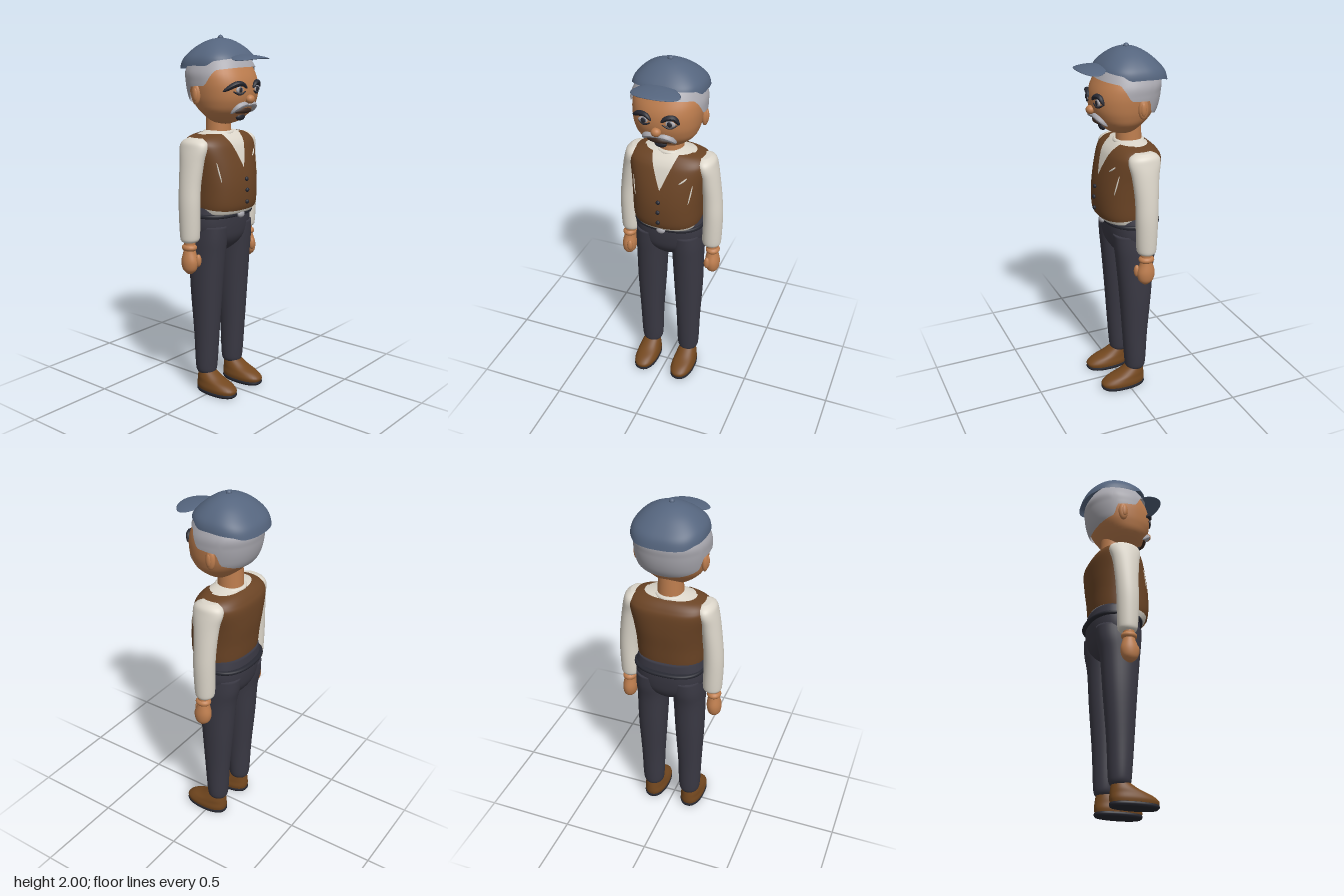
import * as THREE from 'three';

const mat = (name, color, side = THREE.FrontSide) => {
  const m = new THREE.MeshStandardMaterial({ color, side });
  m.name = name;
  return m;
};

// Each ring: [y, centre x, front z, back z, half width, superellipse power]
const HEAD = [
  [1.53, 0, 0.02, -0.04, 0.03, 2], [1.55, 0, 0.07, -0.08, 0.09, 2], [1.6, 0, 0.125, -0.13, 0.15, 2.1],
  [1.65, 0, 0.15, -0.17, 0.172, 2.2], [1.7, 0, 0.16, -0.19, 0.182, 2.2], [1.76, 0, 0.155, -0.2, 0.186, 2.2],
  [1.82, 0, 0.13, -0.2, 0.178, 2.2], [1.9, 0, 0.08, -0.15, 0.13, 2.1], [1.95, 0, 0, -0.08, 0.05, 2],
];
const TORSO = [
  [1.05, 0, 0.12, -0.165, 0.178, 2.4], [1.1, 0, 0.138, -0.18, 0.19, 2.4], [1.2, 0, 0.14, -0.19, 0.196, 2.4],
  [1.3, 0, 0.125, -0.2, 0.205, 2.5], [1.4, 0, 0.095, -0.2, 0.22, 2.7], [1.44, 0, 0.075, -0.185, 0.215, 2.7],
  [1.468, 0, 0.05, -0.16, 0.185, 2.5], [1.485, 0, 0.03, -0.13, 0.12, 2.2], [1.495, 0, 0.01, -0.115, 0.075, 2],
];

const offset = (rings, d) => rings.map(([y, x, f, b, w, e]) => [y, x, f + d, b - d, w + d, e]);
const mirrorX = (rings, s) => rings.map(([y, x, ...rest]) => [y, x * s, ...rest]);

// Smooth interpolation between the rings, t from 0 to 1
function ringAt(rings, t) {
  const k = t * (rings.length - 1), i = Math.min(Math.floor(k), rings.length - 2), u = k - i;
  const at = j => rings[Math.max(0, Math.min(rings.length - 1, j))];
  return rings[i].map((p1, c) => {
    const p0 = at(i - 1)[c], p2 = at(i + 1)[c], p3 = at(i + 2)[c];
    const v0 = (p2 - p0) / 2, v1 = (p3 - p1) / 2;
    return p1 + u * (v0 + u * (3 * (p2 - p1) - 2 * v0 - v1 + u * (2 * (p1 - p2) + v0 + v1)));
  });
}

function pointAt(rings, a, t) {
  const [y, x, f, b, w, e] = ringAt(rings, t);
  const c = Math.cos(a), s = Math.sin(a);
  const sup = v => Math.sign(v) * Math.abs(v) ** (2 / e);
  return [x + w * sup(c), y, (f + b) / 2 + (f - b) / 2 * sup(s)];
}

function bisect(test) {
  let lo = 0, hi = 1;
  for (let i = 0; i < 18; i++) {
    const m = (lo + hi) / 2;
    if (test(m)) lo = m; else hi = m;
  }
  return lo;
}

// Skin over the rings; "below" trims the lower edge and "under" keeps what lies under the upper edge
function loft(rings, { n = 48, m = rings.length * 4, below, under, caps = true } = {}) {
  const pos = [], idx = [];
  for (let i = 0; i < n; i++) {
    const a = i / n * Math.PI * 2;
    const t0 = below ? bisect(t => below(pointAt(rings, a, t), a)) : 0;
    const t1 = under ? bisect(t => under(pointAt(rings, a, t), a)) : 1;
    for (let j = 0; j <= m; j++) pos.push(...pointAt(rings, a, t0 + (t1 - t0) * j / m));
  }
  const at = (i, j) => (i % n) * (m + 1) + j;
  for (let i = 0; i < n; i++) for (let j = 0; j < m; j++) {
    idx.push(at(i, j), at(i, j + 1), at(i + 1, j), at(i + 1, j), at(i, j + 1), at(i + 1, j + 1));
  }
  if (caps) [0, 1].forEach(t => {
    const [y, x, f, b] = ringAt(rings, t), c = pos.length / 3;
    pos.push(x, y, (f + b) / 2);
    for (let i = 0; i < n; i++) {
      const p = at(i, t * m), q = at(i + 1, t * m);
      idx.push(c, ...(t ? [q, p] : [p, q]));
    }
  });
  const g = new THREE.BufferGeometry();
  g.setAttribute('position', new THREE.Float32BufferAttribute(pos, 3));
  g.setIndex(idx);
  g.computeVertexNormals();
  return g;
}

// Depth of a body surface at a given front position
function frontZ(rings, x, y) {
  const [, , f, b, w, e] = ringAt(rings, bisect(t => ringAt(rings, t)[0] < y));
  return (f + b) / 2 + (f - b) / 2 * Math.max(0, 1 - Math.abs(x / w) ** e) ** (1 / e);
}

// Strand lying on a surface, tapering to both ends
function strand(rings, pts, r, lift = 0) {
  const curve = new THREE.CatmullRomCurve3(pts.map(([x, y]) => new THREE.Vector3(x, y, frontZ(rings, x, y) + lift)));
  const seg = 20, g = new THREE.TubeGeometry(curve, seg, r, 8), p = g.attributes.position, v = new THREE.Vector3();
  for (let i = 0; i < p.count; i++) {
    const u = Math.floor(i / 9) / seg, c = curve.getPointAt(u);
    v.fromBufferAttribute(p, i).sub(c).multiplyScalar(Math.sqrt(Math.sin(Math.PI * Math.min(1, u)) + 1e-4)).add(c);
    p.setXYZ(i, v.x, v.y, v.z);
  }
  g.computeVertexNormals();
  return g;
}

const ball = (x, y, z, rx, ry, rz) => new THREE.SphereGeometry(1, 24, 16).scale(rx, ry, rz).translate(x, y, z);

function piecewise(table, v) {
  for (let i = 1; i < table.length; i++) if (v >= table[i][0]) {
    const [x0, y0] = table[i - 1], [x1, y1] = table[i];
    return y0 + (y1 - y0) * Math.min(1, Math.max(0, (v - x0) / (x1 - x0)));
  }
  return table[table.length - 1][1];
}

export function createModel() {
  const model = new THREE.Group();
  const skin = mat('skin', 0xbd7d4e), brown = mat('brown cloth', 0x6b4425, THREE.DoubleSide);
  const cream = mat('cream shirt', 0xdcd6ca), navy = mat('dark trousers', 0x3a3944);
  const blue = mat('blue cap', 0x55657e, THREE.DoubleSide), grey = mat('grey hair', 0xa9a8af, THREE.DoubleSide);
  const dark = mat('dark trim', 0x272831), leather = mat('shoe leather', 0x74481f), mouthBrown = mat('mouth', 0x3d2a20);
  const add = (name, geo, m) => {
    const mesh = new THREE.Mesh(geo, m);
    mesh.name = name;
    model.add(mesh);
  };

  // Head and neck
  add('head', loft(HEAD), skin);
  add('neck', new THREE.CylinderGeometry(0.066, 0.072, 0.14, 32).translate(0, 1.52, -0.055), skin);
  add('nose', ball(0, 1.67, 0.163, 0.027, 0.024, 0.024), skin);

  // Hair wraps the skull, with a line dropping behind the ears
  const hairline = [[0.2, 1.84], [0.08, 1.825], [0.045, 1.79], [0.01, 1.745], [-0.085, 1.735], [-0.11, 1.67], [-0.21, 1.635]];
  add('hair', loft(offset(HEAD, 0.014), {
    n: 96, caps: false, below: (p, a) => p[1] < piecewise(hairline, -0.02 + 0.19 * Math.sin(a)),
  }), grey);

  // Cap
  const cap = [
    [1.81, 0, 0.13, -0.247, 0.196, 2.5], [1.86, 0, 0.13, -0.232, 0.193, 2.5], [1.9, 0, 0.112, -0.2, 0.174, 2.5],
    [1.945, 0, 0.065, -0.15, 0.125, 2.3], [1.975, 0, 0.015, -0.095, 0.065, 2], [1.985, 0, -0.035, -0.045, 0.006, 2],
  ];
  const brimLine = [[1, 1.885], [0.5, 1.87], [0.3, 1.845], [0, 1.845], [-0.6, 1.835], [-0.8, 1.82], [-1, 1.818]];
  add('capCrown', loft(cap, { n: 72, caps: false, below: (p, a) => p[1] < piecewise(brimLine, Math.sin(a)) }), blue);
  add('capButton', ball(0, 1.985, -0.04, 0.015, 0.015, 0.015), blue);
  const visor = ball(0, 0, 0.165, 0.13, 0.009, 0.076), vp = visor.attributes.position;
  for (let i = 0; i < vp.count; i++) {
    vp.setY(i, vp.getY(i) + 1.896 - vp.getX(i) ** 2 * 0.9 - (vp.getZ(i) - 0.1) * 0.08);
  }
  visor.computeVertexNormals();
  add('capVisor', visor, blue);

  // Face
  for (const s of [-1, 1]) {
    add('ear', ball(s * 0.184, 1.695, -0.055, 0.018, 0.055, 0.028), skin);
    add('innerEar', ball(s * 0.195, 1.695, -0.052, 0.011, 0.036, 0.016), skin);
    const ex = s * 0.07, ez = frontZ(HEAD, ex, 1.722);
    add('eyeWhite', ball(ex, 1.722, ez, 0.03, 0.017, 0.008), grey);
    add('pupil', ball(ex, 1.722, ez + 0.006, 0.014, 0.014, 0.006), dark);
    const outer = s < 0 ? -0.15 : 0.115;
    add('eyebrow', strand(HEAD, [[s * 0.025, 1.728], [s * 0.055, 1.752], [s * 0.09, 1.752], [outer, 1.715]], 0.015, 0.005), dark);
    add('lowerLash', strand(HEAD, [[s * 0.03, 1.715], [ex, 1.699], [s * 0.11, 1.716]], 0.006, 0.002), dark);
    add('moustache', strand(HEAD, [[s * -0.01, 1.638], [s * 0.035, 1.643], [s * 0.07, 1.628], [s * 0.088, 1.595]], 0.017, 0.004), grey);
  }
  add('mouth', strand(HEAD, [[-0.07, 1.603], [0, 1.61], [0.07, 1.603]], 0.016, 0), mouthBrown);
  add('chinBeard', ball(0, 1.573, frontZ(HEAD, 0, 1.573) - 0.002, 0.034, 0.02, 0.018), dark);

  // Shirt and open-necked waistcoat
  add('shirtBody', loft(offset(TORSO, -0.008), { n: 72 }), cream);
  add('collar', new THREE.TorusGeometry(0.073, 0.014, 10, 40).rotateX(Math.PI / 2).translate(0, 1.478, -0.055), cream);
  add('waistcoat', loft(TORSO, {
    n: 144, caps: false,
    below: p => p[1] < 1.085 - p[2] * 0.12,
    under: p => p[1] < (p[2] > -0.03 ? Math.min(1.482, 1.3 + 2.5 * Math.abs(p[0])) : 1.48),
  }), brown);
  for (const y of [1.24, 1.18, 1.115]) add('waistcoatButton', ball(0, y, frontZ(TORSO, 0, y) + 0.008, 0.012, 0.012, 0.009), dark);
  add('pocketEdge', strand(TORSO, [[0.1, 1.35], [0.125, 1.37], [0.14, 1.385]], 0.005), cream);
  for (const s of [-1, 1]) add('sideSliver', strand(TORSO, [[s * 0.15, 1.23], [s * 0.16, 1.29], [s * 0.168, 1.345]], 0.004), cream);

  // Trousers, belt and buckle
  add('trouserSeat', loft([
    [0.815, 0, -0.01, -0.09, 0.025, 2], [0.85, 0, 0.035, -0.14, 0.09, 2.2], [0.9, 0, 0.068, -0.172, 0.17, 2.3],
    [0.96, 0, 0.08, -0.185, 0.194, 2.4], [1.03, 0, 0.085, -0.19, 0.196, 2.4], [1.1, 0, 0.085, -0.185, 0.18, 2.4],
  ]), navy);
  add('belt', loft([
    [1.025, 0, 0.08, -0.18, 0.185, 2.4], [1.031, 0, 0.1, -0.207, 0.2, 2.4],
    [1.047, 0, 0.1, -0.207, 0.2, 2.4], [1.053, 0, 0.08, -0.18, 0.185, 2.4],
  ]), dark);
  add('buckle', ball(0, 1.039, 0.105, 0.026, 0.019, 0.015), grey);

  for (const s of [-1, 1]) {
    const side = (name, rings, m) => add(name, loft(mirrorX(rings, s), { n: 36 }), m);
    // Leg and shoe
    side('trouserLeg', [
      [0.105, 0.115, -0.01, -0.09, 0.035, 2], [0.12, 0.115, 0.005, -0.105, 0.055, 2], [0.17, 0.115, 0.012, -0.112, 0.064, 2],
      [0.35, 0.115, 0.025, -0.12, 0.069, 2.1], [0.6, 0.113, 0.042, -0.14, 0.081, 2.2], [0.8, 0.109, 0.06, -0.155, 0.086, 2.2],
      [0.9, 0.106, 0.07, -0.174, 0.089, 2.3], [0.98, 0.1, 0.075, -0.18, 0.09, 2.3],
    ], navy);
    side('shoe', [
      [0.018, 0.117, 0.155, -0.1, 0.064, 2.3], [0.04, 0.117, 0.158, -0.104, 0.067, 2.3], [0.065, 0.117, 0.125, -0.103, 0.062, 2.2],
      [0.09, 0.117, 0.06, -0.1, 0.056, 2.1], [0.125, 0.115, 0, -0.095, 0.045, 2],
    ], leather);
    side('sole', [[0, 0.117, 0.152, -0.1, 0.062, 2.3], [0.01, 0.117, 0.16, -0.105, 0.068, 2.3], [0.021, 0.117, 0.158, -0.103, 0.066, 2.3]], dark);
    // Sleeve and hand
    side('sleeve', [
      [0.9, 0.244, -0.03, -0.08, 0.03, 2], [0.912, 0.243, -0.007, -0.103, 0.048, 2], [0.95, 0.243, 0.002, -0.11, 0.054, 2],
      [1.1, 0.246, 0.008, -0.115, 0.054, 2], [1.22, 0.238, 0.01, -0.12, 0.053, 2], [1.34, 0.222, 0.022, -0.13, 0.052, 2],
      [1.41, 0.207, 0.035, -0.145, 0.052, 2], [1.445, 0.197, 0.025, -0.135, 0.05, 2], [1.465, 0.19, -0.01, -0.1, 0.03, 2],
    ], cream);
    add('wrist', ball(s * 0.253, 0.875, -0.05, 0.039, 0.024, 0.044), skin);
    add('forearm', new THREE.CylinderGeometry(0.03, 0.032, 0.1, 24).translate(s * 0.25, 0.9, -0.05), skin);
    side('hand', [
      [0.73, 0.257, -0.03, -0.06, 0.014, 2], [0.755, 0.256, -0.005, -0.088, 0.034, 2],
      [0.8, 0.254, 0.002, -0.097, 0.041, 2], [0.85, 0.252, -0.015, -0.085, 0.034, 2], [0.875, 0.25, -0.02, -0.08, 0.03, 2],
    ], skin);
    add('thumb', ball(s * 0.235, 0.805, -0.002, 0.017, 0.035, 0.017), skin);
  }
  return model;
}
